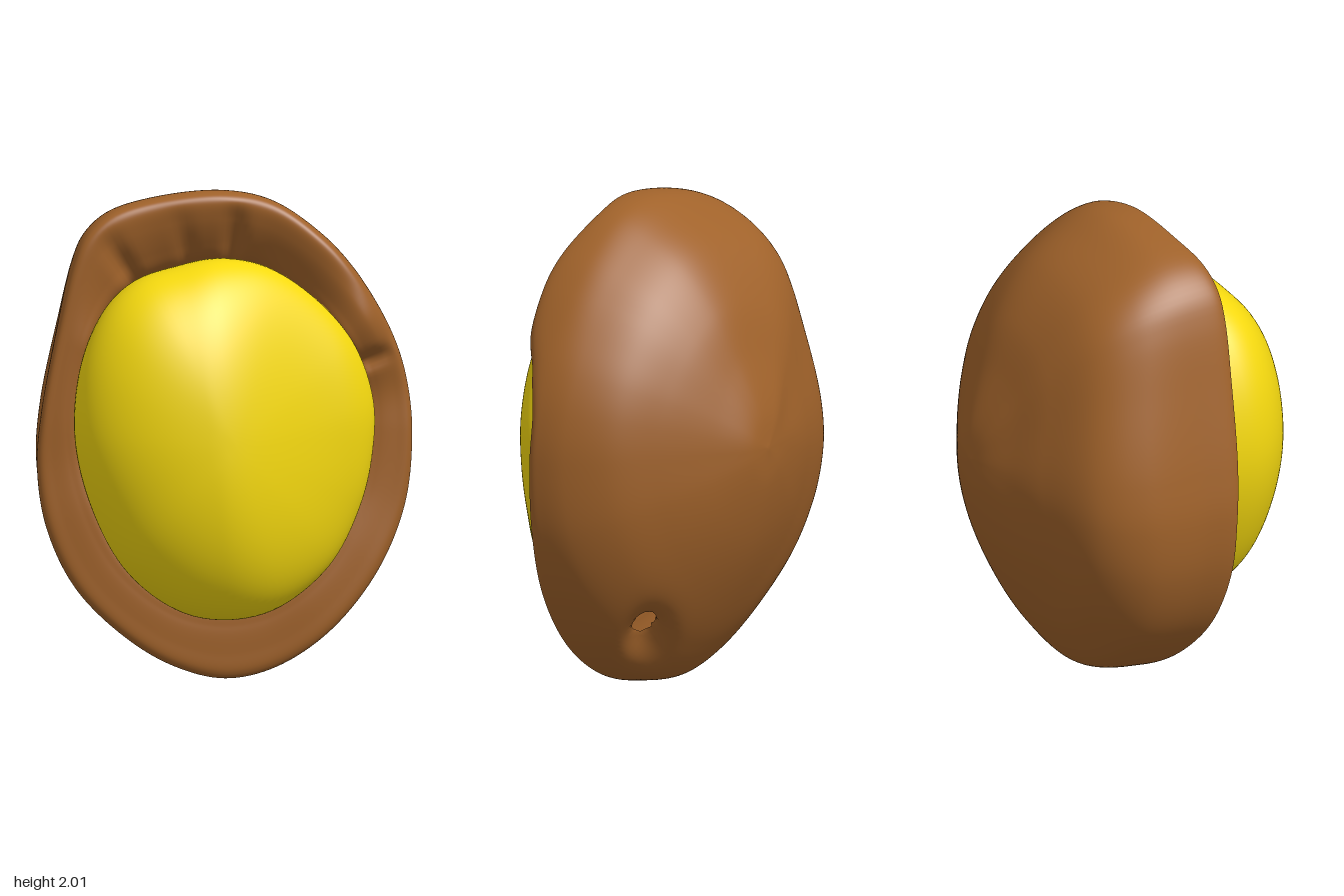
import * as THREE from 'three';
import { mergeVertices } from 'three/addons/utils/BufferGeometryUtils.js';

const CY = 1.03; // height of the common axis
const V = (x, y, z = 0) => new THREE.Vector3(x, y, z);
const smooth = THREE.MathUtils.smoothstep;

// Closed outline [x, y, z] turned into a lookup by polar angle: {r, z}
function polarOutline(points) {
  const curve = new THREE.CatmullRomCurve3(points.map(p => V(...p)), true);
  const s = curve.getPoints(600).map(p => ({
    a: (Math.atan2(p.y - CY, p.x) + 2 * Math.PI) % (2 * Math.PI),
    r: Math.hypot(p.x, p.y - CY), z: p.z
  })).sort((p, q) => p.a - q.a);
  return angle => {
    let i = s.findIndex(p => p.a >= angle);
    if (i < 0) i = 0;
    const q = s[i], p = s[(i + s.length - 1) % s.length];
    const span = (q.a - p.a + 2 * Math.PI) % (2 * Math.PI) || 1;
    const t = ((angle - p.a + 2 * Math.PI) % (2 * Math.PI)) / span;
    return { r: p.r + (q.r - p.r) * t, z: p.z + (q.z - p.z) * t };
  };
}

// Surface wrapped round the z axis; rows run from front to back
function wrap(cols, rows, pointsOf, keep = () => true) {
  const pos = [], index = [];
  for (let c = 0; c < cols; c++) {
    for (const p of pointsOf(c / cols * 2 * Math.PI, rows)) pos.push(p.x, p.y, p.z);
  }
  const n = rows + 1;
  const at = i => V().fromArray(pos, i * 3);
  for (let c = 0; c < cols; c++) {
    for (let r = 0; r < rows; r++) {
      const a = c * n + r, b = ((c + 1) % cols) * n + r;
      for (const [i, j, k] of [[a, a + 1, b], [a + 1, b + 1, b]]) {
        if (keep(at(i).add(at(j)).add(at(k)).divideScalar(3))) index.push(i, j, k);
      }
    }
  }
  let g = new THREE.BufferGeometry();
  g.setAttribute('position', new THREE.Float32BufferAttribute(pos, 3));
  g.setIndex(index);
  g = mergeVertices(g, 1e-5);
  g.computeVertexNormals();
  return g;
}

// Shell rim, with the forward reach of the rim as z
const shellOutline = polarOutline([
  [0, 1.995, .15], [.2, 1.95, .13], [.4, 1.81, .17], [.52, 1.68, .19], [.62, 1.53, .19],
  [.7, 1.37, .12], [.75, 1.2, .07], [.77, 1, .07], [.74, .7, .08], [.62, .42, .11],
  [.42, .18, .13], [.2, .04, .13], [0, 0, .13], [-.2, .05, .13], [-.4, .17, .14],
  [-.61, .38, .15], [-.73, .63, .16], [-.77, .88, .16], [-.755, 1.1, .17], [-.69, 1.45, .18],
  [-.625, 1.72, .19], [-.575, 1.83, .19], [-.48, 1.915, .18], [-.3, 1.97, .16]
]);
const kernelOutline = polarOutline([
  [-.04, 1.745], [.15, 1.71], [.35, 1.58], [.52, 1.38], [.6, 1.15], [.6, .95], [.55, .72],
  [.42, .47], [.2, .3], [0, .26], [-.2, .3], [-.42, .47], [-.57, .75], [-.635, 1.05],
  [-.6, 1.35], [-.5, 1.56], [-.38, 1.665], [-.2, 1.72]
]);

// Back profiles [share of radius, z] towards +x, top, -x and bottom
const profiles = [
  [[1, 0], [.97, -.1], [.84, -.27], [.63, -.4], [.36, -.53], [.14, -.615], [0, -.63]],
  [[1, 0], [.92, -.15], [.8, -.3], [.6, -.44], [.37, -.53], [.15, -.605], [0, -.63]],
  [[.98, 0], [.95, -.26], [.81, -.43], [.5, -.535], [.27, -.585], [.12, -.615], [0, -.63]],
  [[1, 0], [.96, -.17], [.82, -.31], [.62, -.44], [.39, -.55], [.16, -.615], [0, -.63]]
];
function backProfile(angle) {
  const q = angle / (Math.PI / 2), i = Math.floor(q) % 4;
  const w = smooth(q - Math.floor(q), 0, 1);
  return profiles[i].map((p, k) => p.map((v, j) => v + (profiles[(i + 1) % 4][k][j] - v) * w));
}

// Small puckers on the lip: [angle, depth]
const puckers = [[2.12, .04], [1.52, .05], [1.78, .02], [.43, .05]];

// Dented oval opening low on the back: long axis, inward axis and cross axis
const LONG = V(.2, .26, -.2).normalize();
const INWARD = V(-.45, .65, .6).projectOnPlane(LONG).normalize();
const CROSS = LONG.clone().cross(INWARD);
const DENT = V(.35, .2, -.24), OPENING = DENT.clone().addScaledVector(LONG, .05);
const STRETCH = 1.7, RADIUS = .05;
function oval(p, centre) {
  const d = p.clone().sub(centre);
  return p.z < .02 && p.y < .6 ? Math.hypot(d.dot(LONG) / STRETCH, d.dot(CROSS)) : 9;
}
function pierce(p) {
  p.addScaledVector(INWARD, .1 * Math.exp(-((oval(p, DENT) / .08) ** 2)));
  const r = oval(p, OPENING);
  if (r < RADIUS && r > 0) { // gather the points inside on the edge of the opening
    const d = p.clone().sub(OPENING), k = RADIUS / r - 1;
    p.addScaledVector(LONG, d.dot(LONG) * k).addScaledVector(CROSS, d.dot(CROSS) * k);
  }
  return p;
}

function shellColumn(angle, rows) {
  const { r: R, z: rim } = shellOutline(angle), inner = kernelOutline(angle).r;
  const pucker = puckers.reduce((s, [a, d]) => s + d * Math.exp(-(((angle - a) / .05) ** 2)), 0);
  const top = smooth(Math.sin(angle), .5, .95); // the lip sinks inwards at the top
  const drop = .05 * Math.exp(-(((angle - .65) / .25) ** 2)); // softer edge at the upper +x corner
  const at = (r, z, shift = 0) =>
    V(Math.cos(angle) * r + .05 * shift, CY + Math.sin(angle) * r, z);
  const mix = t => R + (inner - R) * t;
  const path = [
    at(inner * .85, -.12), at(inner * .97, rim - .015 - .11 * top - pucker),
    at(mix(.8), rim - .07 * top - pucker), at(mix(.4), rim - .02 * top - pucker * .5),
    at(mix(.1), rim - .005 - drop * .6), at(R, rim - .025 - drop),
    ...backProfile(angle).map(([k, z]) => at(R * k, z, 1 - k))
  ];
  return new THREE.CatmullRomCurve3(path).getPoints(rows).map(pierce);
}

// Two lobes: a high one on -x and a lower one on +x, divided by a slanting fold
function kernelColumn(angle, rows) {
  const R = kernelOutline(angle).r, out = [];
  for (let i = 0; i <= rows; i++) {
    const t = i / rows * Math.PI;
    const s = Math.sin(t) ** .85, x = Math.cos(angle) * R * s, y = CY + Math.sin(angle) * R * s;
    const low = smooth(x + .12 * (y - 1), -.1, .48);
    const h = Math.sqrt(Math.max(0, 1 - s ** 2.1));
    const z = .22 - .115 * x + (t < Math.PI / 2 ? h * .405 * (1 - .44 * low) : -h * .58);
    out.push(V(i % rows ? x : 0, i % rows ? y : CY, z));
  }
  return out;
}

export function createModel() {
  const group = new THREE.Group();
  const add = (name, geometry, color) => {
    const mesh = new THREE.Mesh(geometry,
      new THREE.MeshStandardMaterial({ color, side: THREE.DoubleSide }));
    mesh.name = name;
    group.add(mesh);
  };
  add('shell', wrap(240, 128, shellColumn, p => oval(p, OPENING) > RADIUS * .98), 0xa0622a);
  add('kernel', wrap(128, 64, kernelColumn), 0xf5d90f);
  return group;
}
